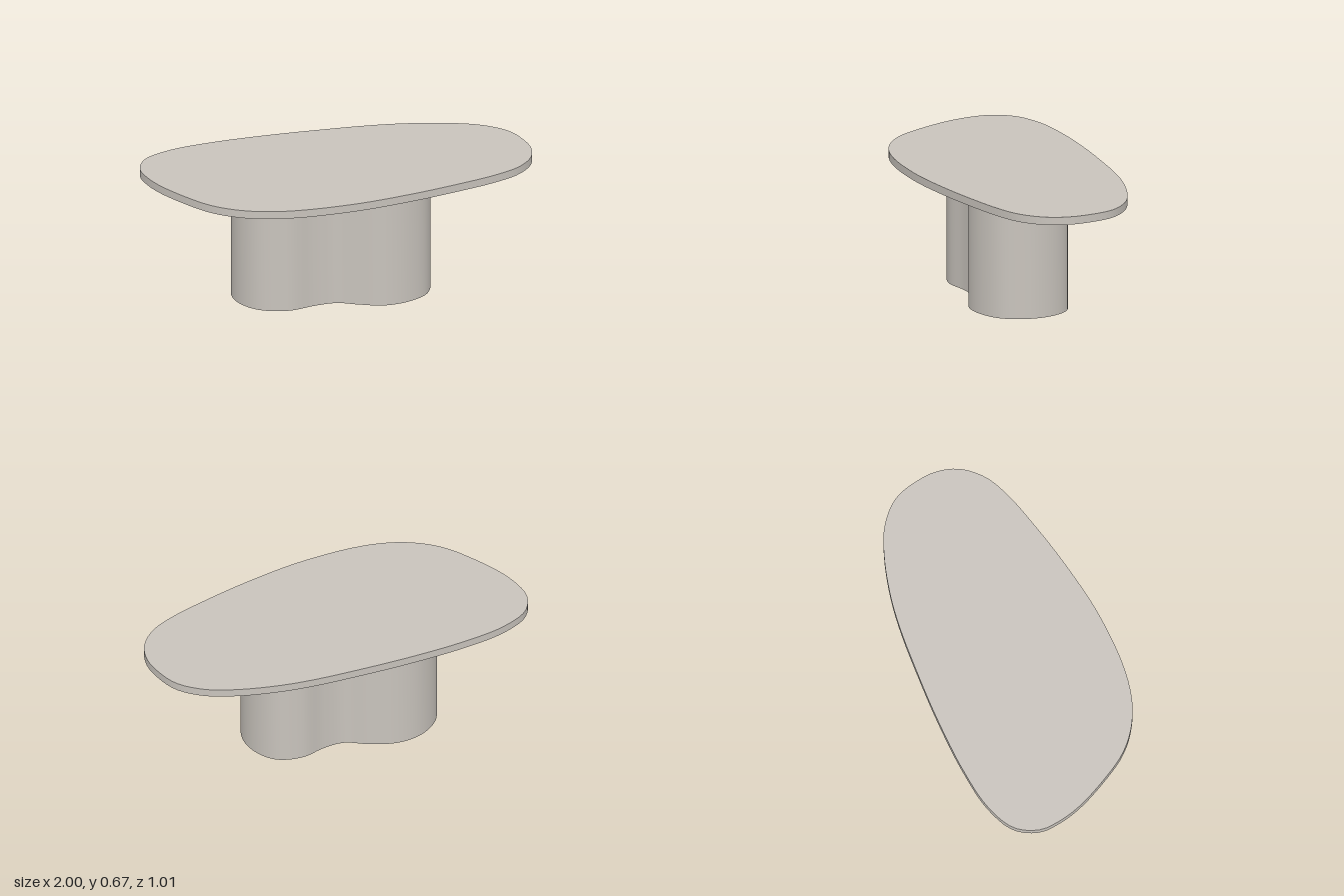
import * as THREE from 'three';
import { toCreasedNormals } from 'three/addons/utils/BufferGeometryUtils.js';

// Outlines seen from above, as [x, z] points of a closed smooth curve
const TOP_OUTLINE = [
  [-1, -0.18], [-0.947, -0.3], [-0.797, -0.39], [-0.56, -0.447], [-0.26, -0.483],
  [0, -0.499], [0.25, -0.506], [0.43, -0.497], [0.647, -0.46], [0.807, -0.404],
  [0.93, -0.302], [0.989, -0.152], [1, -0.05], [0.973, 0.061], [0.888, 0.168],
  [0.76, 0.243], [0.567, 0.318], [0.3, 0.404], [0, 0.476], [-0.315, 0.505],
  [-0.5, 0.484], [-0.636, 0.43], [-0.743, 0.35], [-0.85, 0.211], [-0.947, 0.045], [-0.99, -0.08],
];
const BASE_OUTLINE = [
  [0.465, 0], [0.42, 0.14], [0.31, 0.22], [0.18, 0.245], [0.06, 0.21],
  [-0.05, 0.168], [-0.16, 0.18], [-0.31, 0.22], [-0.455, 0.18], [-0.535, 0.08],
  [-0.555, -0.04], [-0.51, -0.17], [-0.4, -0.26], [-0.27, -0.285], [-0.13, -0.25],
  [-0.01, -0.195], [0.1, -0.205], [0.23, -0.245], [0.36, -0.22], [0.437, -0.13],
];

// Upright slab with a smooth side wall and sharp rims
function slab(name, outline, bottom, top, material) {
  const curve = new THREE.CatmullRomCurve3(
    outline.map(([x, z]) => new THREE.Vector3(x, z, 0)), true, 'centripetal');
  const points = curve.getSpacedPoints(128).slice(0, -1).map((p) => new THREE.Vector2(p.x, p.y));
  let geometry = new THREE.ExtrudeGeometry(new THREE.Shape(points), { depth: top - bottom, bevelEnabled: false });
  geometry.rotateX(Math.PI / 2).translate(0, top, 0);
  geometry = toCreasedNormals(geometry, Math.PI / 5);
  const mesh = new THREE.Mesh(geometry, material);
  mesh.name = name;
  return mesh;
}

export function createModel() {
  const stone = new THREE.MeshStandardMaterial({ color: 0xc8c3bc });
  stone.name = 'warm grey stone';

  const table = new THREE.Group();
  table.name = 'table';
  table.add(
    slab('tableTop', TOP_OUTLINE, 0.632, 0.673, stone),
    slab('pedestalBase', BASE_OUTLINE, 0, 0.632, stone),
  );
  return table;
}
